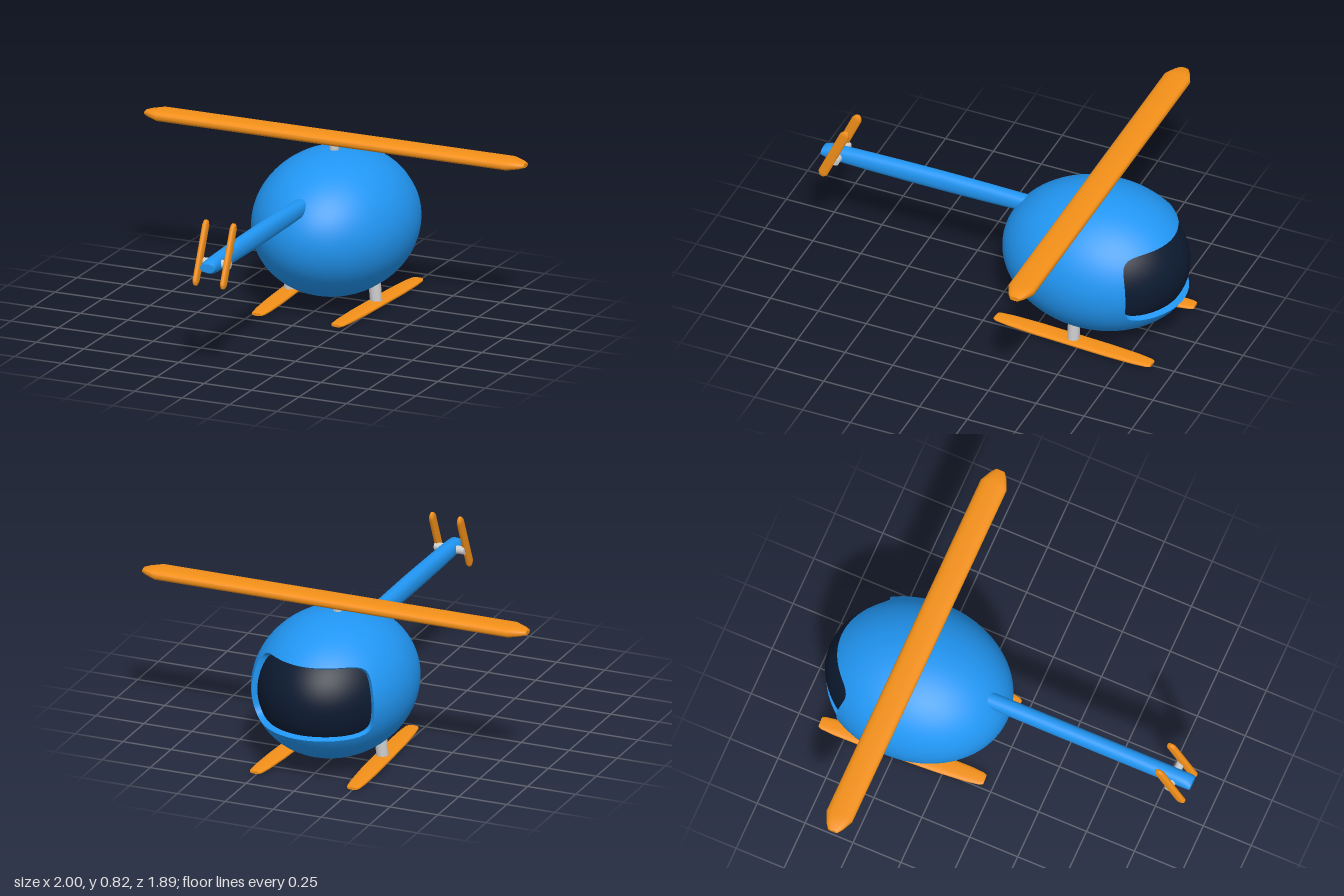
import * as THREE from 'three';
import { ParametricGeometry } from 'three/addons/geometries/ParametricGeometry.js';

const paint = (color) => new THREE.MeshStandardMaterial({ color, side: THREE.DoubleSide });
const BLUE = paint(0x2196f3), ORANGE = paint(0xf39019), GLASS = paint(0x0c1a30), GREY = paint(0xcccccc);

const CENTRE = new THREE.Vector3(0, 0.388, -0.5);
const RADII = new THREE.Vector3(0.39, 0.358, 0.48);

// Point on the cabin egg: polar angle from the nose (-z), azimuth, and scale
function eggPoint(polar, azimuth, scale, target) {
  const s = Math.sin(polar);
  target.set(s * Math.cos(azimuth), s * Math.sin(azimuth), -Math.cos(polar));
  target.multiply(RADII).multiplyScalar(scale).add(CENTRE);
}

// Rounded-rectangle edge of the windscreen
function windowEdge(u) {
  const a = u * Math.PI * 2, c = Math.cos(a), s = Math.sin(a), n = 7;
  const r = Math.pow(Math.abs(c) ** n + Math.abs(s) ** n, -1 / n);
  const lon = 0.96 * r * c, lat = 0.11 + 0.523 * r * s;
  const x = Math.sin(lon) * Math.cos(lat), y = Math.sin(lat), z = -Math.cos(lon) * Math.cos(lat);
  return { polar: Math.acos(-z), azimuth: Math.atan2(y, x) };
}

// Exact smooth normals for parts of the egg
function eggNormals(geo) {
  const p = geo.attributes.position, v = new THREE.Vector3();
  for (let i = 0; i < p.count; i++) {
    v.fromBufferAttribute(p, i).sub(CENTRE).divide(RADII).divide(RADII).normalize();
    geo.attributes.normal.setXYZ(i, v.x, v.y, v.z);
  }
  return geo;
}

// Bar along y with rounded section; stations are [position, widthFactor, heightFactor] from +end to -end
function bar(length, width, height, stations, power = 0.75) {
  const rows = stations.length - 1;
  const geo = new THREE.CylinderGeometry(1, 1, 1, 32, rows);
  const p = geo.attributes.position;
  const round = (c) => Math.sign(c) * Math.abs(c) ** power;
  for (let i = 0; i < p.count; i++) {
    const [t, kw, kh] = stations[Math.round((0.5 - p.getY(i)) * rows)];
    p.setXYZ(i, round(p.getX(i)) * width / 2 * kw, t * length / 2, round(p.getZ(i)) * height / 2 * kh);
  }
  geo.computeVertexNormals();
  return geo;
}

// Mirror a half list of stations onto the other end
const bothEnds = (half) => [...half, ...half.map(([t, w, h]) => [-t, w, h]).reverse()];

function rod(a, b, r) {
  const from = new THREE.Vector3(...a), dir = new THREE.Vector3(...b).sub(from), len = dir.length();
  const geo = new THREE.CylinderGeometry(r, r, len, 20).translate(0, len / 2, 0);
  geo.applyQuaternion(new THREE.Quaternion().setFromUnitVectors(new THREE.Vector3(0, 1, 0), dir.normalize()));
  return geo.translate(...a);
}

export function createModel() {
  const model = new THREE.Group();
  const add = (name, geo, mat, x = 0, y = 0, z = 0) => {
    const mesh = new THREE.Mesh(geo, mat);
    mesh.name = name;
    mesh.position.set(x, y, z);
    model.add(mesh);
    return mesh;
  };

  // Cabin shell with an opening at the nose, recessed windscreen and its rim
  const RECESS = 0.93;
  add('cabin', eggNormals(new ParametricGeometry((u, v, t) => {
    const e = windowEdge(u);
    eggPoint(e.polar + (Math.PI - e.polar) * v, e.azimuth, 1, t);
  }, 96, 32)), BLUE);
  add('windscreen', eggNormals(new ParametricGeometry((u, v, t) => {
    const e = windowEdge(u);
    eggPoint(e.polar * v, e.azimuth, RECESS, t);
  }, 96, 14)), GLASS);
  add('windscreenRim', new ParametricGeometry((u, v, t) => {
    const e = windowEdge(u);
    eggPoint(e.polar, e.azimuth, RECESS + (1 - RECESS) * v, t);
  }, 96, 1), BLUE);

  // Tail boom, fattest in the middle
  const boom = bar(1.25, 0.076, 0.1, [
    [1, 1, 0.42], [0.96, 1, 0.68], [0.88, 1, 0.8], [0.6, 1, 0.92], [0.3, 1, 0.98],
    [0, 1, 1], [-0.4, 1, 0.94], [-0.8, 1, 0.8], [-1, 1, 0.7],
  ], 0.9).rotateX(Math.PI / 2);
  add('tailBoom', boom, BLUE, -0.008, 0.561, 0.322);

  // Main rotor and mast
  const blade = bar(2, 0.136, 0.055, bothEnds([[1, 0.36, 0.4], [0.975, 0.62, 0.65], [0.92, 1, 1]]));
  add('mainRotor', blade.rotateX(Math.PI / 2).rotateY(Math.PI / 2), ORANGE, 0, 0.796, -0.497);
  add('mast', rod([-0.005, 0.7, -0.488], [-0.005, 0.79, -0.488], 0.023), GREY);

  // Twin tail rotor blades on one axle
  for (const x of [-0.081, 0.064]) {
    const tailBlade = bar(0.32, 0.05, 0.027, bothEnds([[1, 0.4, 0.5], [0.95, 0.7, 0.8], [0.85, 1, 1]]));
    add('tailRotorBlade', tailBlade.rotateY(Math.PI / 2), ORANGE, x, 0.607, 0.862).rotation.x = -0.42;
  }
  add('tailRotorAxle', rod([-0.085, 0.563, 0.855], [0.07, 0.563, 0.855], 0.02), GREY);

  // Skids, toed out towards the nose, with their struts
  for (const side of [-1, 1]) {
    const skid = bar(0.84, 0.092, 0.026, bothEnds([[1, 0.55, 0.5], [0.96, 0.72, 0.7], [0.8, 0.88, 0.9], [0.45, 1, 1]]));
    add('skid', skid.rotateX(Math.PI / 2), ORANGE, side * 0.231, 0.014, -0.468).rotation.y = -side * 0.055;
    add('strut', rod([side * 0.228, 0.018, -0.463], [side * 0.215, 0.16, -0.463], 0.03), GREY);
  }
  return model;
}
